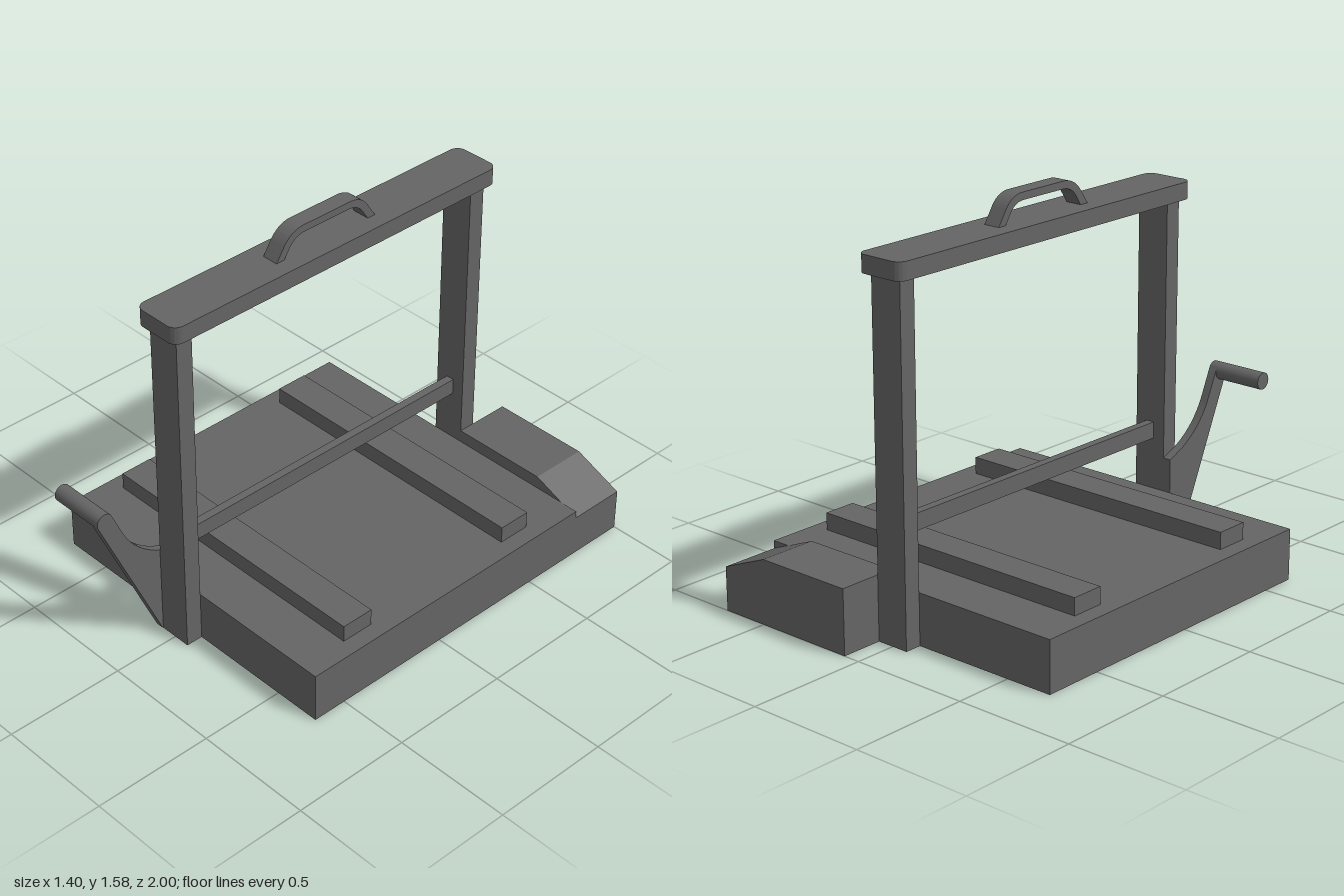
import * as THREE from 'three';
import { toCreasedNormals } from 'three/addons/utils/BufferGeometryUtils.js';

const material = new THREE.MeshStandardMaterial({ color: 0x646464 });

export function createModel() {
  const model = new THREE.Group();
  model.name = 'liftingFrame';

  const add = (name, geometry) => {
    const mesh = new THREE.Mesh(geometry, material);
    mesh.name = name;
    model.add(mesh);
    return mesh;
  };

  // Box given by its limits on each axis
  const box = (name, [x0, x1], [y0, y1], [z0, z1]) => {
    const mesh = add(name, new THREE.BoxGeometry(x1 - x0, y1 - y0, z1 - z0));
    mesh.position.set((x0 + x1) / 2, (y0 + y1) / 2, (z0 + z1) / 2);
  };

  const extrude = (shape, depth) => new THREE.ExtrudeGeometry(shape, {
    depth, bevelEnabled: false, curveSegments: 12,
  });

  // Side profile drawn in (z, y), extruded from x0 to x1
  const sideProfile = (name, shape, x0, x1) => {
    const geometry = extrude(shape, x1 - x0);
    geometry.rotateY(-Math.PI / 2);
    geometry.translate(x1, 0, 0);
    add(name, toCreasedNormals(geometry, 0.5));
  };

  // Platform and its two cross rails
  box('platform', [-0.7, 0.7], [0, 0.21], [-0.755, 0.645]);
  for (const z of [0.367, -0.473]) {
    box('rail', [-0.63, 0.63], [0.21, 0.28], [z - 0.07, z + 0.07]);
  }

  // Uprights and the thin bar between them
  box('frontPost', [-0.07, 0.07], [0, 1.402], [0.645, 0.716]);
  box('backPost', [-0.07, 0.07], [0, 1.402], [-0.825, -0.755]);
  box('crossBar', [-0.0175, 0.0175], [0.422, 0.49], [-0.755, 0.645]);

  // Housing with a sloped outer end
  const housing = new THREE.Shape();
  housing.moveTo(0.07, 0);
  housing.lineTo(0.7, 0);
  housing.lineTo(0.7, 0.178);
  housing.lineTo(0.49, 0.263);
  housing.lineTo(0.07, 0.263);
  housing.closePath();
  add('backHousing', extrude(housing, 0.245)).position.z = -1;

  // Top beam with rounded corners in plan
  const w = 0.105, z0 = -0.86, z1 = 0.75, r = 0.04;
  const beam = new THREE.Shape();
  beam.absarc(w - r, z1 - r, r, 0, Math.PI / 2);
  beam.absarc(r - w, z1 - r, r, Math.PI / 2, Math.PI);
  beam.absarc(r - w, z0 + r, r, Math.PI, Math.PI * 1.5);
  beam.absarc(w - r, z0 + r, r, Math.PI * 1.5, Math.PI * 2);
  beam.closePath();
  const beamGeometry = extrude(beam, 0.07);
  beamGeometry.rotateX(Math.PI / 2);
  beamGeometry.translate(0, 1.472, 0);
  add('topBeam', toCreasedNormals(beamGeometry, 0.5));

  // Carrying handle: a flat strap bent into an arch
  const grip = new THREE.Shape();
  grip.moveTo(0.21, 1.472);
  grip.lineTo(0.175, 1.525);
  grip.quadraticCurveTo(0.138, 1.58, 0.075, 1.58);
  grip.lineTo(-0.15, 1.58);
  grip.quadraticCurveTo(-0.213, 1.58, -0.245, 1.525);
  grip.lineTo(-0.28, 1.472);
  grip.lineTo(-0.243, 1.472);
  grip.lineTo(-0.218, 1.51);
  grip.quadraticCurveTo(-0.192, 1.55, -0.145, 1.55);
  grip.lineTo(0.07, 1.55);
  grip.quadraticCurveTo(0.12, 1.55, 0.147, 1.51);
  grip.lineTo(0.172, 1.472);
  grip.closePath();
  sideProfile('carryHandle', grip, -0.035, 0.035);

  // Lever plate on the side of the front post, with a rounded tip
  const lever = new THREE.Shape();
  lever.moveTo(0.645, 0);
  lever.lineTo(0.718, 0);
  lever.lineTo(0.997, 0.633);
  lever.absarc(0.965, 0.647, 0.035, -0.41, Math.PI - 0.41);
  lever.lineTo(0.887, 0.557);
  lever.quadraticCurveTo(0.835, 0.44, 0.716, 0.38);
  lever.lineTo(0.645, 0.35);
  lever.closePath();
  sideProfile('leverPlate', lever, -0.105, -0.07);

  // Lever grip
  const leverGrip = add('leverGrip', new THREE.CylinderGeometry(0.035, 0.035, 0.245, 32));
  leverGrip.rotation.z = Math.PI / 2;
  leverGrip.position.set(-0.1925, 0.647, 0.965);

  return model;
}
